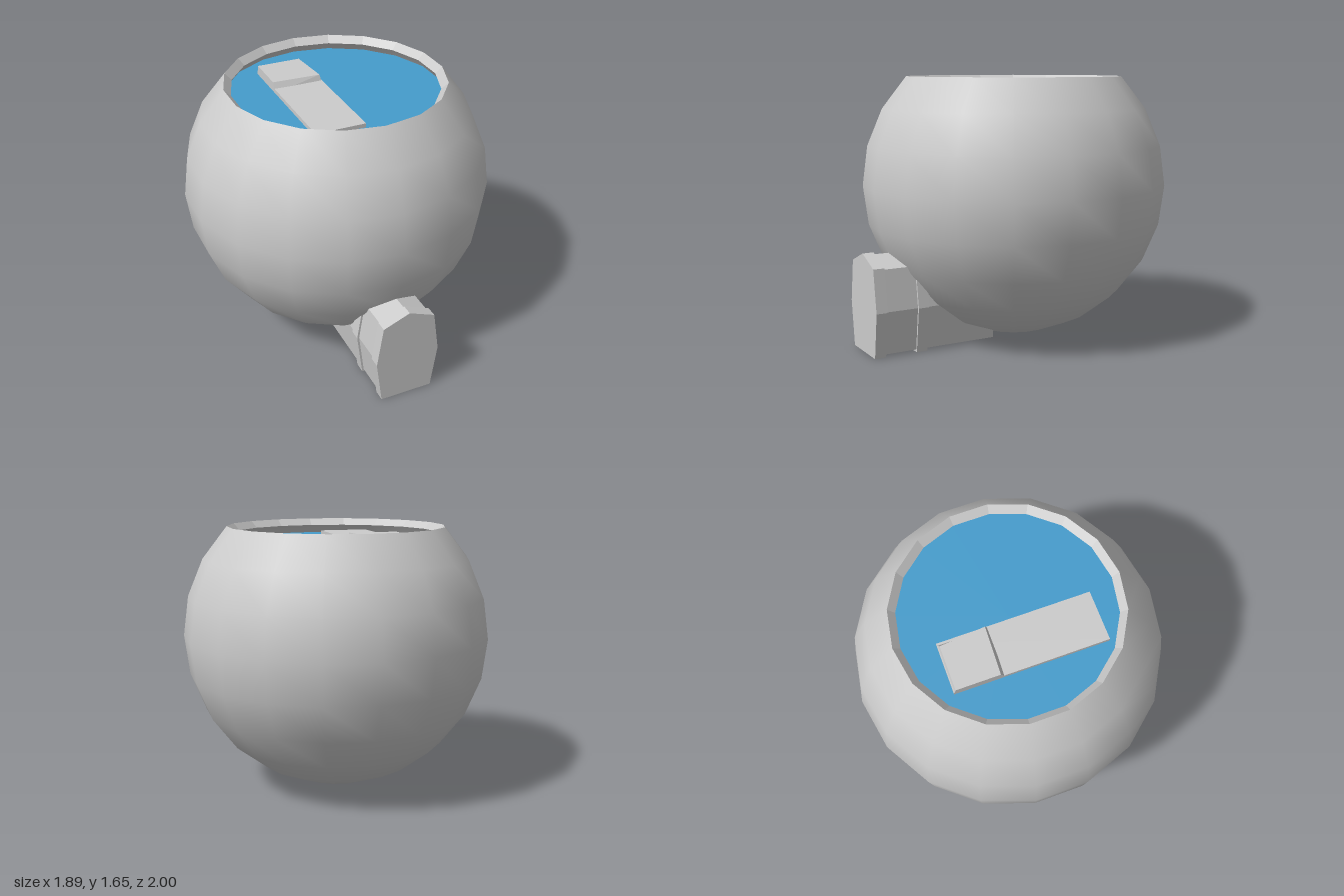
import * as THREE from 'three';

const grey = new THREE.MeshStandardMaterial({ color: 0xcccccc });
const flatGrey = new THREE.MeshStandardMaterial({ color: 0xcccccc, flatShading: true });
const shellGrey = new THREE.MeshStandardMaterial({ color: 0xcccccc, side: THREE.DoubleSide });
const rimGrey = new THREE.MeshStandardMaterial({ color: 0xcccccc, flatShading: true, side: THREE.DoubleSide });
const blue = new THREE.MeshStandardMaterial({ color: 0x459ccc, side: THREE.DoubleSide });

const SIDES = 18;
const CENTRE_Y = 0.97, CENTRE_Z = -0.04;
const OUTER = 0.96, INNER = 0.9, FLOOR_Y = 1.555;

function add(parent, name, geometry, material) {
  const mesh = new THREE.Mesh(geometry, material);
  mesh.name = name;
  parent.add(mesh);
  return mesh;
}

// Point on a sphere profile, counted in 15 degree steps up from the bottom pole
function ringPoint(radius, step) {
  const a = step * Math.PI / 12;
  return new THREE.Vector2(radius * Math.sin(a), -radius * Math.cos(a));
}

// Sphere cut off 45 degrees above its equator
function cutSphere(radius) {
  const points = [];
  for (let i = 0; i <= 9; i++) points.push(ringPoint(radius, i));
  return new THREE.LatheGeometry(points, SIDES);
}

// Pointed, slightly bulging doorway outline, extruded from z0 to z1
function archway(halfBase, halfMid, base, shoulder, peak, z0, z1) {
  const shape = new THREE.Shape([
    [-halfBase, base], [halfBase, base], [halfMid, 0.28],
    [halfBase, shoulder], [0, peak], [-halfBase, shoulder], [-halfMid, 0.28],
  ].map(([x, y]) => new THREE.Vector2(x, y)));
  const geometry = new THREE.ExtrudeGeometry(shape, { depth: z1 - z0, bevelEnabled: false });
  return geometry.translate(0, 0, z0);
}

export function createModel() {
  const model = new THREE.Group();
  model.name = 'domeHouse';

  // Round shell with an open top, a sloping rim and an inner wall
  const dome = new THREE.Group();
  dome.name = 'dome';
  dome.position.set(0, CENTRE_Y, CENTRE_Z);
  model.add(dome);
  add(dome, 'outerShell', cutSphere(OUTER), shellGrey);
  add(dome, 'innerShell', cutSphere(INNER), shellGrey);
  add(dome, 'rim', new THREE.LatheGeometry([ringPoint(OUTER, 9), ringPoint(INNER, 9)], SIDES), rimGrey);

  // Blue floor just under the rim, reaching the inner wall
  const h = FLOOR_Y - CENTRE_Y;
  const floor = add(dome, 'floor', new THREE.CircleGeometry(Math.sqrt(INNER * INNER - h * h) - 0.005, SIDES, Math.PI / 2), blue);
  floor.rotation.x = -Math.PI / 2;
  floor.position.y = h;

  // Bed: thin mat with a tapered pillow at the back
  const bed = new THREE.Group();
  bed.name = 'bed';
  bed.position.set(-0.185, FLOOR_Y, 0);
  model.add(bed);
  add(bed, 'mat', new THREE.BoxGeometry(0.31, 0.025, 0.93).translate(0, 0.0125, -0.015), grey);
  const pillowShape = new THREE.BoxGeometry(0.31, 0.06, 0.31);
  const p = pillowShape.attributes.position;
  for (let i = 0; i < p.count; i++) {
    if (p.getY(i) < 0) continue;
    const back = p.getZ(i) < 0, right = p.getX(i) > 0;
    if (right) p.setX(i, back ? 0.12 : 0.145);
    p.setZ(i, back ? -0.142 : (right ? 0.135 : 0.122));
  }
  pillowShape.computeVertexNormals();
  add(bed, 'pillow', pillowShape, flatGrey).position.set(0, 0.03, -0.325);

  // Entrance tunnel with two raised frames
  const entrance = new THREE.Group();
  entrance.name = 'entrance';
  model.add(entrance);
  add(entrance, 'tunnel', archway(0.155, 0.19, 0.015, 0.53, 0.595, 0.2, 0.98), flatGrey);
  for (const [name, z0, z1] of [['frontFrame', 0.93, 1], ['rearFrame', 0.66, 0.73]]) {
    add(entrance, name, archway(0.165, 0.203, 0, 0.54, 0.607, z0, z1), flatGrey);
  }

  return model;
}
